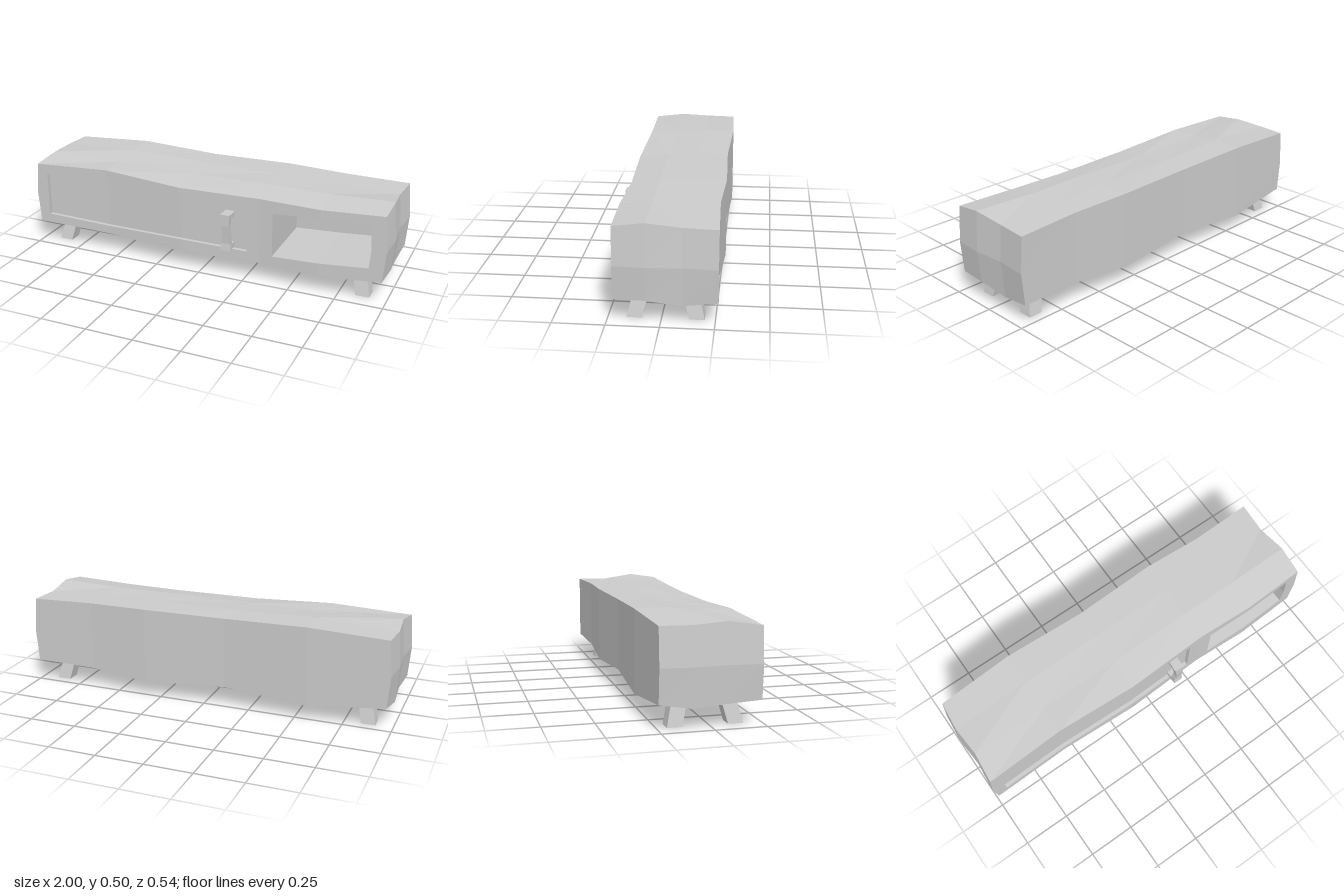
import * as THREE from 'three';

const material = new THREE.MeshStandardMaterial({ color: 0xcccccc, flatShading: true, side: THREE.DoubleSide });

// Wobbly cabinet: stations along x, each with values from front to back
const xs = [-0.98, -0.56, -0.12, 0.33, 0.65, 0.98];
const frontZ = [0.226, 0.213, 0.229, 0.213, 0.226, 0.215];
const backZ = [-0.255, -0.27, -0.255, -0.27, -0.255, -0.267];
const topY = [
  [0.465, 0.488, 0.478, 0.478], [0.485, 0.485, 0.5, 0.5], [0.46, 0.48, 0.49, 0.488],
  [0.463, 0.488, 0.49, 0.49], [0.463, 0.487, 0.485, 0.485], [0.478, 0.5, 0.478, 0.478],
];
const bottomY = [
  [0.123, 0.11, 0.1, 0.123], [0.112, 0.085, 0.083, 0.082], [0.096, 0.1, 0.1, 0.112],
  [0.104, 0.09, 0.087, 0.083], [0.097, 0.1, 0.1, 0.112], [0.123, 0.123, 0.098, 0.123],
];
const leftEnd = [0.978, 0.986, 0.972, 0.984], rightEnd = [-0.987, -0.972, -0.984, -0.97];
const midY = 0.291, bulge = 0.014;

// Front columns: x, lower and upper edge of the openings
const columns = [
  [-0.98, 0.172, 0.415], [-0.93, 0.172, 0.415], [-0.56, 0.158, 0.43], [-0.12, 0.165, 0.415],
  [0.26, 0.158, 0.415], [0.33, 0.158, 0.405], [0.4, 0.156, 0.395], [0.65, 0.17, 0.415],
  [0.908, 0.19, 0.43], [0.98, 0.19, 0.43],
];

function sample(values, x) {
  let i = 0;
  while (i < xs.length - 2 && x > xs[i + 1]) i++;
  return THREE.MathUtils.lerp(values[i], values[i + 1], (x - xs[i]) / (xs[i + 1] - xs[i]));
}

// Flat quads over a grid of points; the front side is du x dv
function grid(nu, nv, point, skip = () => false) {
  const out = [];
  for (let u = 0; u < nu; u++) for (let v = 0; v < nv; v++) {
    if (skip(u, v)) continue;
    const a = point(u, v), b = point(u + 1, v), c = point(u + 1, v + 1), d = point(u, v + 1);
    out.push(...a, ...b, ...c, ...a, ...c, ...d);
  }
  const geometry = new THREE.BufferGeometry();
  geometry.setAttribute('position', new THREE.Float32BufferAttribute(out, 3));
  geometry.computeVertexNormals();
  return geometry;
}

// Shell point at station i, depth row j, level k (0 bottom, 1 middle, 2 top)
function shell(i, j, k) {
  const y = [bottomY[i][j], midY, topY[i][j]][k];
  const z = [frontZ[i], 0.065, -0.1, backZ[i]][j];
  let x = xs[i];
  if (i === 0) x = rightEnd[j] - (k === 1 ? bulge : 0);
  if (i === 5) x = leftEnd[j] + (k === 1 ? bulge : 0);
  return [x, y, z];
}

// Front point at column c, level l (bottom, opening low, middle, opening high, top)
function front(c, l) {
  const [x, low, high] = columns[c];
  const bottom = sample(bottomY.map((r) => r[0]), x), top = sample(topY.map((r) => r[0]), x);
  const y = [bottom, low, midY, high, top][l];
  const z = sample(frontZ, x);
  const bow = bulge * (1 - (y < midY ? (midY - y) / (midY - bottom) : (y - midY) / (top - midY)));
  if (c === 0) return [rightEnd[0] - bow, y, z];
  if (c === 9) return [leftEnd[0] + bow, y, z];
  return [x + (c === 8 && l === 2 ? 0.008 : 0), y, z];
}

// Walls of an opening between two columns, running inwards to depth(z)
function openingWalls(c0, c1, depth) {
  const loop = [];
  for (let c = c0; c < c1; c++) loop.push(front(c, 1));
  loop.push(front(c1, 1), front(c1, 2));
  for (let c = c1; c > c0; c--) loop.push(front(c, 3));
  loop.push(front(c0, 3), front(c0, 2));
  return grid(loop.length, 1, (u, v) => {
    const [x, y, z] = loop[u % loop.length];
    return [x, y, v ? depth(z) : z];
  });
}

function openingBack(c0, c1, depth) {
  return grid(c1 - c0, 2, (u, v) => {
    const [x, y, z] = front(c0 + u, v + 1);
    return [x, y, depth(z)];
  });
}

// Block whose four-cornered section is swept through a list of [x, y, z, halfX, halfZ] rings
function sweptBlock(rings) {
  const corner = (u, v) => {
    const [x, y, z, hx, hz] = rings[v];
    const [sx, sz] = [[-1, 1], [1, 1], [1, -1], [-1, -1]][u % 4];
    return [x + sx * hx, y, z + sz * hz];
  };
  const last = rings.length - 1;
  const sides = grid(4, last, corner);
  const cap = (v, up) => grid(1, 1, (a, b) => corner(up ? (b ? 3 - a : a) : (b ? a : 3 - a), v));
  return [sides, cap(0, false), cap(last, true)];
}

export function createModel() {
  const model = new THREE.Group();
  const add = (name, ...geometries) => {
    const part = new THREE.Group();
    part.name = name;
    for (const geometry of geometries) {
      const mesh = new THREE.Mesh(geometry, material);
      mesh.name = name;
      part.add(mesh);
    }
    model.add(part);
  };

  // Cabinet shell
  add('cabinetTop', grid(5, 3, (u, v) => shell(u, v, 2)));
  add('cabinetBottom', grid(5, 3, (u, v) => shell(u, 3 - v, 0)));
  add('cabinetBack', grid(5, 2, (u, v) => shell(5 - u, 3, v)));
  add('leftEnd', grid(3, 2, (u, v) => shell(5, u, v)));
  add('rightEnd', grid(3, 2, (u, v) => shell(0, 3 - u, v)));

  // Front frame with two openings
  const isOpening = (c, l) => (l === 1 || l === 2) && ((c >= 1 && c < 4) || (c >= 6 && c < 8));
  add('frontFrame', grid(9, 4, front, isOpening));

  // Recessed door and open compartment
  const doorDepth = (z) => z - 0.02, shelfDepth = () => -0.18;
  add('doorRecess', openingWalls(1, 4, doorDepth));
  add('door', openingBack(1, 4, doorDepth));
  add('compartment', openingWalls(6, 8, shelfDepth), openingBack(6, 8, shelfDepth));

  // Door handle: wavy grip on two stubs
  add('handleGrip', ...sweptBlock([
    [0.162, 0.165, 0.252, 0.026, 0.015], [0.16, 0.205, 0.248, 0.025, 0.014],
    [0.164, 0.255, 0.252, 0.02, 0.013], [0.16, 0.305, 0.255, 0.021, 0.014],
    [0.158, 0.367, 0.252, 0.026, 0.015],
  ]));
  for (const y of [0.18, 0.353]) {
    add('handleStub', new THREE.BoxGeometry(0.05, 0.029, 0.045).translate(0.16, y, 0.22));
  }

  // Splayed legs
  for (const sx of [-1, 1]) {
    add('frontLeg', ...sweptBlock([[sx * 0.873, 0, 0.127, 0.037, 0.037], [sx * 0.847, 0.125, 0.096, 0.037, 0.037]]));
    add('backLeg', ...sweptBlock([[sx * 0.873, 0, -0.164, 0.037, 0.037], [sx * 0.847, 0.125, -0.135, 0.037, 0.037]]));
  }
  return model;
}
